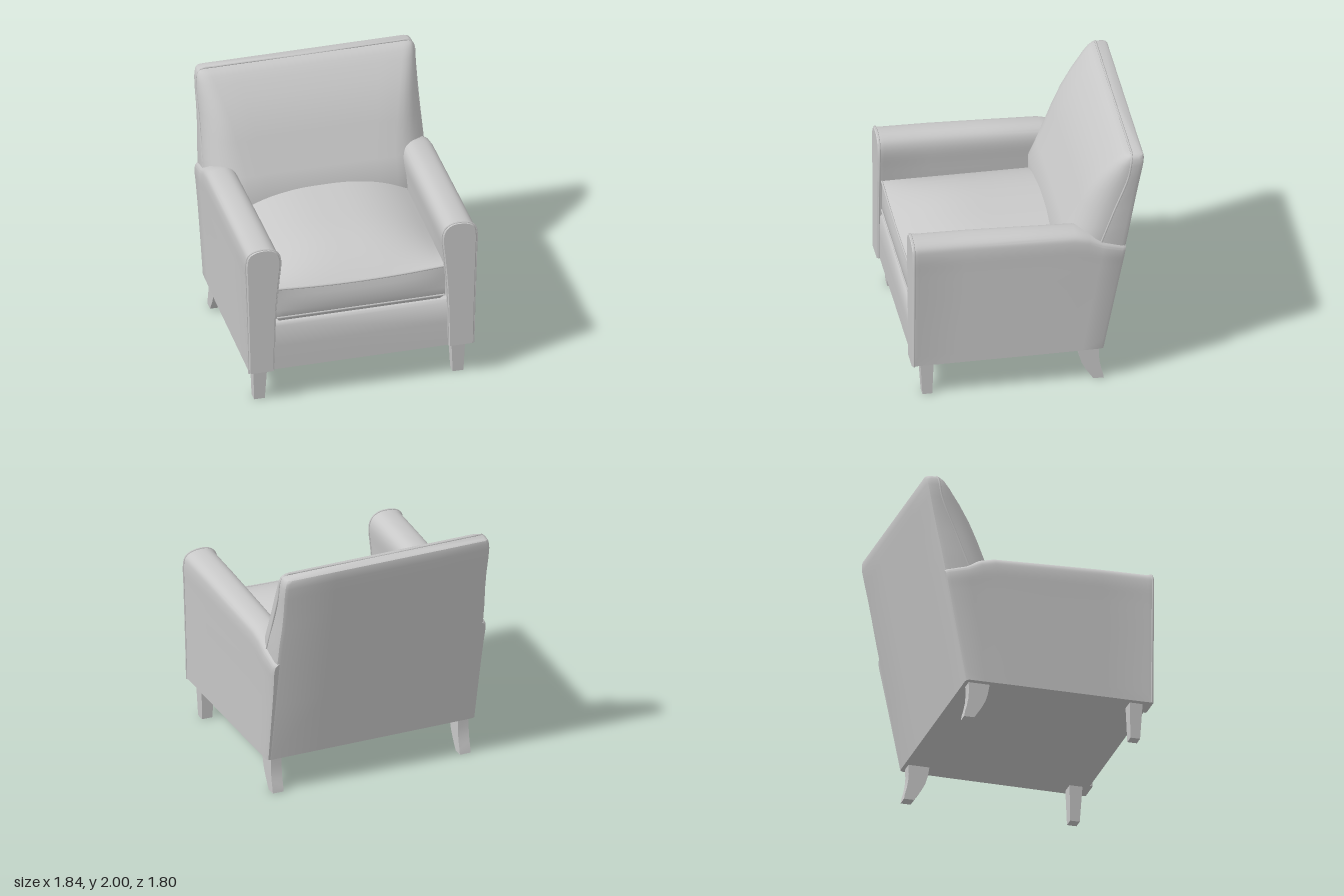
import * as THREE from 'three';
import { toCreasedNormals } from 'three/addons/utils/BufferGeometryUtils.js';

const V = (x, y, z) => new THREE.Vector3(x, y, z);
const lerp = THREE.MathUtils.lerp;
const backZ = (y) => -0.58 - 0.193 * (y - 0.29); // leaning rear plane

// Closed skin through equal-sized rings, capped at both ends, always facing outwards
function loft(rings, crease = 0.6) {
  const n = rings[0].length, pts = rings.flat(), idx = [];
  for (let r = 0; r < rings.length - 1; r++) {
    for (let i = 0; i < n; i++) {
      const a = r * n + i, b = r * n + (i + 1) % n;
      idx.push(a, b, b + n, a, b + n, a + n);
    }
  }
  [rings[0], rings[rings.length - 1]].forEach((ring, end) => {
    const c = ring.reduce((s, p) => s.add(p), V(0, 0, 0)).divideScalar(n);
    const k = pts.push(c) - 1, o = end ? (rings.length - 1) * n : 0;
    for (let i = 0; i < n; i++) {
      const a = o + i, b = o + (i + 1) % n;
      if (end) idx.push(k, a, b); else idx.push(k, b, a);
    }
  });
  let volume = 0;
  for (let i = 0; i < idx.length; i += 3) {
    volume += pts[idx[i]].dot(pts[idx[i + 1]].clone().cross(pts[idx[i + 2]]));
  }
  if (volume < 0) idx.reverse();
  const g = new THREE.BufferGeometry().setFromPoints(pts);
  g.setIndex(idx);
  return toCreasedNormals(g, crease);
}

const rect = (y, x0, x1, z0, z1) => [V(x0, y, z0), V(x1, y, z0), V(x1, y, z1), V(x0, y, z1)];

function pipe(points, radius = 0.008) {
  const curve = new THREE.CatmullRomCurve3(points, false, 'centripetal');
  return new THREE.TubeGeometry(curve, 90, radius, 6);
}

// Arm outline seen from the front, from outer foot over the top to inner foot
const armProfile = new THREE.CatmullRomCurve3([
  [0.885, 0.29], [0.895, 0.7], [0.907, 1.1], [0.911, 1.28], [0.898, 1.34], [0.86, 1.372], [0.78, 1.388],
  [0.71, 1.38], [0.66, 1.345], [0.637, 1.28], [0.65, 1.1], [0.668, 0.9], [0.68, 0.7], [0.69, 0.29],
].map(([x, y]) => V(x, y, 0)), false, 'centripetal').getPoints(65);

function armGeometry(side) {
  // along the arm: fraction, drop of the top, inset of the outline
  const stations = [
    [0, 0, 0.012], [0.006, 0, 0.002], [0.015, 0, 0], [0.03, 0, 0.006], [0.25, 0.004, 0.008], [0.5, 0.018, 0.01],
    [0.75, 0.033, 0.012], [0.82, 0.06, 0.014], [0.89, 0.12, 0.016], [0.985, 0.165, 0.018], [1, 0.17, 0.03],
  ];
  return loft(stations.map(([t, drop, inset]) => armProfile.map((p) => {
    const top = THREE.MathUtils.clamp((p.y - 0.9) / 0.49, 0, 1);
    const y = p.y - top * (drop + inset * 0.4);
    const x = p.x - inset * (p.x - 0.77) / 0.13;
    return V(side * x, y, lerp(0.908, backZ(y) + 0.004, t));
  })));
}

// Backrest as horizontal outlines: height, front z, seam z, half width, flat half width, rear inset
function backGeometry() {
  const rows = [
    [0.29, -0.4, -0.46, 0.868, 0.6, 0], [0.8, -0.25, -0.48, 0.868, 0.6, 0], [1.13, -0.25, -0.52, 0.868, 0.59, 0],
    [1.27, -0.31, -0.565, 0.866, 0.59, 0], [1.37, -0.36, -0.605, 0.865, 0.6, 0], [1.52, -0.425, -0.66, 0.857, 0.63, 0],
    [1.67, -0.5, -0.72, 0.856, 0.66, 0], [1.8, -0.59, -0.77, 0.86, 0.7, 0], [1.9, -0.672, -0.785, 0.86, 0.73, 0],
    [1.95, -0.72, -0.795, 0.853, 0.75, 0.004], [1.975, -0.752, -0.8, 0.84, 0.75, 0.012],
    [1.985, -0.785, -0.805, 0.82, 0.75, 0.028],
  ];
  return loft(rows.map(([y, zf, zs, w, flat, inset]) => {
    const zb = backZ(y) + inset;
    const half = [V(flat * 0.4, y, zf), V(flat * 0.75, y, zf)];
    for (let i = 0; i <= 7; i++) {
      const a = i / 7 * Math.PI / 2;
      half.push(V(lerp(flat, w, Math.sin(a)), y, lerp(zs, zf, Math.cos(a))));
    }
    half.push(V(w, y, zb + 0.04), V(w - 0.01, y, zb + 0.012), V(w - 0.035, y, zb), V(w * 0.5, y, zb));
    const mirrored = half.map((p) => V(-p.x, p.y, p.z)).reverse();
    return [V(0, y, zf), ...half, V(0, y, zb), ...mirrored];
  }), 0.75);
}

// Domed loose cushion with a tucked-in underside
function cushionGeometry() {
  const g = new THREE.BoxGeometry(2, 1, 1, 28, 5, 28);
  const pos = g.attributes.position;
  for (let i = 0; i < pos.count; i++) {
    const u = pos.getX(i), v = pos.getZ(i) + 0.5, k = Math.round((pos.getY(i) + 0.5) * 5);
    const h = (k - 1) / 4;
    let y = k === 0 ? 0.69 : 0.74 + h * (0.235 + 0.025 * u * u);
    if (k === 5) {
      const f = Math.max(0, (v - 0.4) / 0.6);
      y += 0.17 * (1 - Math.abs(u) ** 2.6) * (1 - f ** 2.8);
    }
    const tuck = k === 0 ? 0.035 : 0;
    const bulge = k === 0 ? 0 : 0.018 * Math.sin(Math.PI * h) * (1 - u ** 4);
    pos.setXYZ(i, u * (0.665 - tuck), y, lerp(-0.35, 0.872 - tuck + bulge, v));
  }
  return toCreasedNormals(g, 0.7);
}

export function createModel() {
  const model = new THREE.Group();
  model.name = 'armchair';
  const upholstery = new THREE.MeshStandardMaterial({ color: 0xc8c8c8 });
  upholstery.name = 'light grey';
  const add = (name, geometry) => {
    const mesh = new THREE.Mesh(geometry, upholstery);
    mesh.name = name;
    model.add(mesh);
  };

  // Seat base
  add('seatBase', loft([
    rect(0.29, -0.71, 0.71, -0.565, 0.885), rect(0.5, -0.71, 0.71, -0.6, 0.89),
    rect(0.675, -0.71, 0.71, -0.64, 0.884), rect(0.695, -0.71, 0.71, -0.64, 0.865),
  ], 0.8));

  // Seat cushion and its front piping
  add('seatCushion', cushionGeometry());
  add('cushionTopPiping', pipe([-1, -0.5, 0, 0.5, 1].map((u) => V(u * 0.66, 0.975 + 0.025 * u * u, 0.874))));
  add('cushionBottomPiping', pipe([-1, -0.5, 0, 0.5, 1].map((u) => V(u * 0.66, 0.742, 0.874))));

  // Backrest with piping along the sides and top
  add('backrest', backGeometry());
  const seam = [[0.866, 1.25, -0.56], [0.86, 1.5, -0.655], [0.859, 1.8, -0.77], [0.856, 1.93, -0.793], [0.825, 1.982, -0.802], [0.7, 1.988, -0.803]];
  add('backrestPiping', pipe([
    ...seam.map(([x, y, z]) => V(-x, y, z)), V(0, 1.985, -0.803),
    ...seam.map(([x, y, z]) => V(x, y, z)).reverse(),
  ]));

  for (const side of [1, -1]) {
    const label = side > 0 ? 'left' : 'right';
    // Arm and the piping round its front panel
    add(label + 'Arm', armGeometry(side));
    add(label + 'ArmPiping', pipe(armProfile.map((p) => V(side * p.x, p.y, 0.893)), 0.007));

    // Tapered front leg
    add(label + 'FrontLeg', loft([
      rect(0, side * 0.74, side * 0.825, 0.742, 0.818),
      rect(0.3, side * 0.725, side * 0.835, 0.732, 0.836),
    ]));

    // Swept back leg
    const sweep = [[0, -0.585, -0.505], [0.04, -0.578, -0.478], [0.09, -0.564, -0.445], [0.15, -0.552, -0.414], [0.21, -0.547, -0.396], [0.3, -0.549, -0.38]];
    add(label + 'BackLeg', loft(sweep.map(([y, z0, z1]) => rect(y, side * 0.735, side * 0.825, z0, z1))));
  }
  return model;
}
